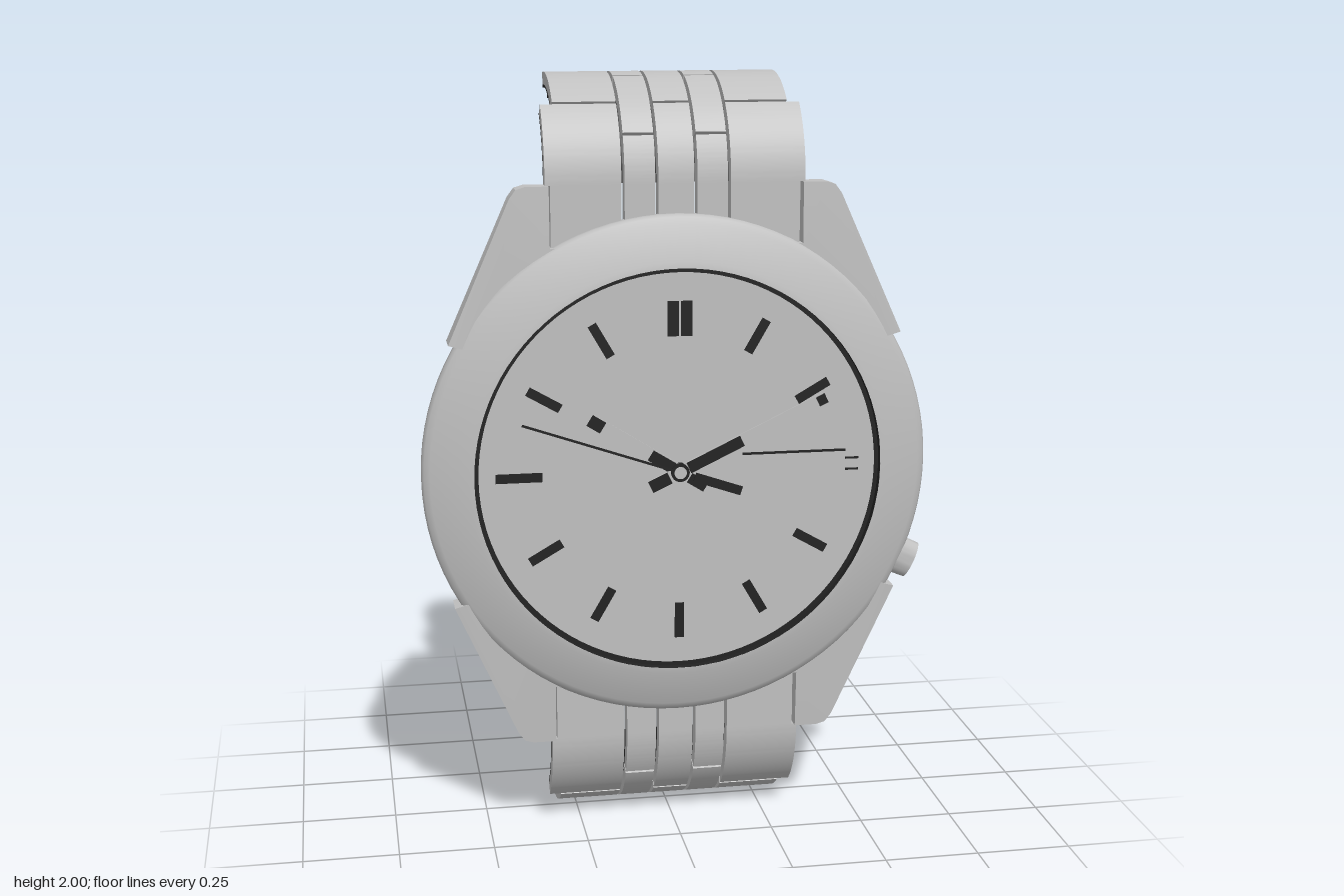
import * as THREE from 'three';
import { toCreasedNormals } from 'three/addons/utils/BufferGeometryUtils.js';

const steel = new THREE.MeshStandardMaterial({ color: 0xc0c0c0 });
steel.name = 'steel grey';
const black = new THREE.MeshStandardMaterial({ color: 0x222222 });
black.name = 'black';
const RAD = Math.PI / 180;

function add(parent, name, geometry, material) {
  const mesh = new THREE.Mesh(geometry, material);
  mesh.name = name;
  parent.add(mesh);
  return mesh;
}

function box(parent, name, x0, x1, y0, y1, z0, z1, material) {
  const g = new THREE.BoxGeometry(x1 - x0, y1 - y0, z1 - z0);
  g.translate((x0 + x1) / 2, (y0 + y1) / 2, (z0 + z1) / 2);
  return add(parent, name, g, material);
}

// Curved link: ring sector in the z-y plane, given a width along x
function link(parent, name, x0, x1, a0, a1, r0, r1, material) {
  const s = new THREE.Shape();
  s.absarc(0, 0, r1, a0 * RAD, a1 * RAD, false);
  s.absarc(0, 0, r0, a1 * RAD, a0 * RAD, true);
  s.closePath();
  let g = new THREE.ExtrudeGeometry(s, { depth: x1 - x0, bevelEnabled: false, curveSegments: 14 });
  g.rotateY(-Math.PI / 2);
  g.translate(x1, 0.735, -0.09);
  g = toCreasedNormals(g, 0.5);
  return add(parent, name, g, material);
}

// Half bracelet: five columns with staggered joints over a dark lining
function bracelet(name) {
  const group = new THREE.Group();
  group.name = name;
  const R0 = 0.232, R1 = 0.265, gap = 0.8;
  const cuts = [0, 48, 99, 123], halfWidths = [0.333, 0.302, 0.28];
  for (let i = 0; i < 3; i++) {
    const a0 = cuts[i] + (i ? gap : 0), a1 = cuts[i + 1] - (i < 2 ? gap : 0), w = halfWidths[i];
    link(group, 'outerLink', 0.14, w, a0, a1, R0, R1, steel);
    link(group, 'outerLink', -w, -0.14, a0, a1, R0, R1, steel);
    link(group, 'centreLink', -0.046, 0.046, a0, a1, R0, R1, steel);
    link(group, 'lining', -w, w, cuts[i], cuts[i + 1], 0.226, R0, black);
  }
  const staggered = [0, 27.5, 76, 123];
  for (let i = 0; i < 3; i++) {
    const a0 = staggered[i] + (i ? gap : 0), a1 = staggered[i + 1] - (i < 2 ? gap : 0);
    link(group, 'innerLink', 0.054, 0.132, a0, a1, R0, R1, steel);
    link(group, 'innerLink', -0.132, -0.054, a0, a1, R0, R1, steel);
  }
  // Flat end links between the lugs
  for (const [x0, x1] of [[-0.32, -0.14], [-0.132, -0.054], [-0.046, 0.046], [0.054, 0.132], [0.14, 0.32]])
    box(group, 'endLink', x0, x1, 0.56, 0.735, 0.137, 0.175, steel);
  return group;
}

// Case slab with four lugs; its front falls away toward the lug tips
function caseBody(parent) {
  const quarter = [[0.325, 0.58], [0.325, 0.735], [0.385, 0.735], [0.408, 0.728], [0.425, 0.705],
    [0.585, 0.345], [0.55, 0.335]];
  const flip = (sx, sy, list) => list.map(([x, y]) => new THREE.Vector2(sx * x, sy * y));
  const back = [...quarter].reverse();
  const s = new THREE.Shape([...flip(1, 1, quarter), ...flip(1, -1, back),
    ...flip(-1, -1, quarter), ...flip(-1, 1, back)]);
  const g = new THREE.ExtrudeGeometry(s, { depth: 1, bevelEnabled: false });
  const p = g.attributes.position;
  for (let i = 0; i < p.count; i++) {
    const front = 0.21 - 0.05 * (Math.abs(p.getY(i)) - 0.335);
    p.setZ(i, p.getZ(i) > 0.5 ? front : 0.135);
  }
  add(parent, 'caseWithLugs', toCreasedNormals(g, 0.4), steel);
}

function lathe(parent, name, points, material) {
  const g = new THREE.LatheGeometry(points.map(([r, z]) => new THREE.Vector2(r, z)), 96);
  g.rotateX(Math.PI / 2);
  return add(parent, name, toCreasedNormals(g, 0.6), material);
}

// Thin plate lying on the dial, along a ray from the centre
function plate(parent, name, angle, r0, r1, width, z, material, side = 0) {
  const m = box(parent, name, r0, r1, side - width / 2, side + width / 2, z, z + 0.003, material);
  m.rotation.z = angle * RAD;
  return m;
}

export function createModel() {
  const watch = new THREE.Group();
  watch.name = 'wristwatch';
  const body = new THREE.Group();
  body.name = 'watchBody';
  body.position.y = 1;
  watch.add(body);

  caseBody(body);
  const upper = bracelet('upperBracelet');
  const lower = bracelet('lowerBracelet');
  lower.rotation.z = Math.PI;
  body.add(upper, lower);

  // Round case, sloped bezel and recessed dial
  lathe(body, 'bezel', [[0, 0.137], [0.635, 0.137], [0.652, 0.145], [0.66, 0.16], [0.661, 0.195],
    [0.655, 0.205], [0.64, 0.212], [0.545, 0.241], [0.53, 0.243], [0.53, 0.242]], steel);
  lathe(body, 'dialWall', [[0.53, 0.243], [0.53, 0.222], [0.515, 0.222]], black);
  const dial = add(body, 'dial', new THREE.CircleGeometry(0.518, 96), steel);
  dial.position.z = 0.224;

  // Hour markers
  const Z = 0.2245;
  for (let h = 0; h < 12; h++) {
    const a = 90 - h * 30;
    if (h === 3) continue;
    if (h === 0) {
      for (const s of [-1, 1]) plate(body, 'hourMarker', a, 0.355, 0.445, 0.029, Z, black, s * 0.0175);
    } else {
      plate(body, 'hourMarker', a, 0.355, h === 9 ? 0.475 : 0.45, 0.024, Z, black);
    }
  }
  // Date window edge and ticks
  plate(body, 'dateWindowEdge', 0, 0.165, 0.44, 0.006, Z, black, 0.04);
  for (const y of [-0.012, 0.018]) plate(body, 'dateTick', 0, 0.44, 0.475, 0.005, Z, black, y);

  // Hour and minute hands with dark inlays, and the needle
  plate(body, 'hourHand', 148, -0.07, 0.27, 0.036, 0.229, steel);
  plate(body, 'hourHandInlay', 148, 0.02, 0.09, 0.03, 0.2305, black);
  plate(body, 'hourHandTip', 148, 0.235, 0.275, 0.032, 0.2305, black);
  plate(body, 'hourHandTail', 148, -0.08, -0.03, 0.028, 0.2305, black);
  plate(body, 'minuteHand', 25.5, -0.07, 0.42, 0.034, 0.233, steel);
  plate(body, 'minuteHandInlay', 25.5, 0.025, 0.18, 0.03, 0.2345, black);
  plate(body, 'minuteHandTip', 25.5, 0.4, 0.425, 0.026, 0.2345, black);
  plate(body, 'minuteHandTail', 25.5, -0.085, -0.03, 0.032, 0.2345, black);
  plate(body, 'secondHand', 161, 0, 0.43, 0.006, 0.2375, black);
  plate(body, 'secondHandTail', 161, -0.17, -0.04, 0.024, 0.2375, black);
  lathe(body, 'hubRing', [[0.024, 0.225], [0.024, 0.241], [0, 0.241]], black);
  lathe(body, 'hubCap', [[0.016, 0.24], [0.016, 0.243], [0, 0.243]], steel);

  // Flattened crown on the lower side of the case
  const a = -24 * RAD;
  const crown = add(body, 'crown', toCreasedNormals(new THREE.CylinderGeometry(0.05, 0.053, 0.08, 32), 0.6), steel);
  crown.position.set(0.66 * Math.cos(a), 0.66 * Math.sin(a), 0.176);
  crown.rotation.z = a - Math.PI / 2;
  crown.scale.z = 0.55;

  return watch;
}
